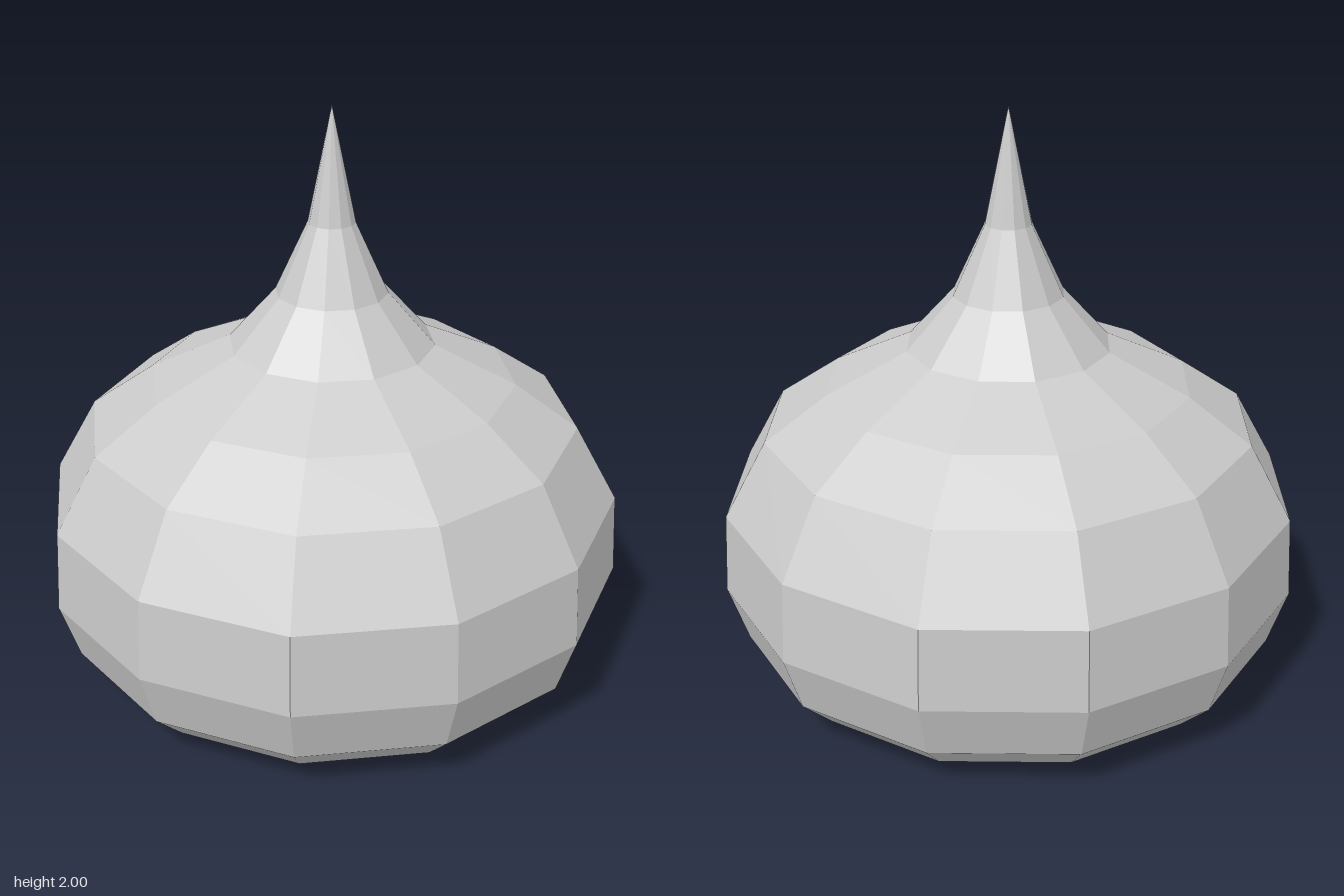
import * as THREE from 'three';

export function createModel() {
  const group = new THREE.Group();
  group.name = 'onionDome';

  // Half outline as [radius, height], from the centre of the base to the tip
  const outline = [
    [0, 0], [0.55, 0], [0.82, 0.055], [0.935, 0.17], [1, 0.37], [0.985, 0.65],
    [0.84, 0.91], [0.625, 1.06], [0.35, 1.19], [0.19, 1.37], [0.08, 1.61], [0, 2],
  ].map(([r, y]) => new THREE.Vector2(r, y));

  // Twelve-sided faceted dome with a drawn-out point
  const dome = new THREE.Mesh(
    new THREE.LatheGeometry(outline, 12),
    new THREE.MeshStandardMaterial({ color: 0xcccccc, flatShading: true }),
  );
  dome.name = 'dome';
  group.add(dome);

  return group;
}
